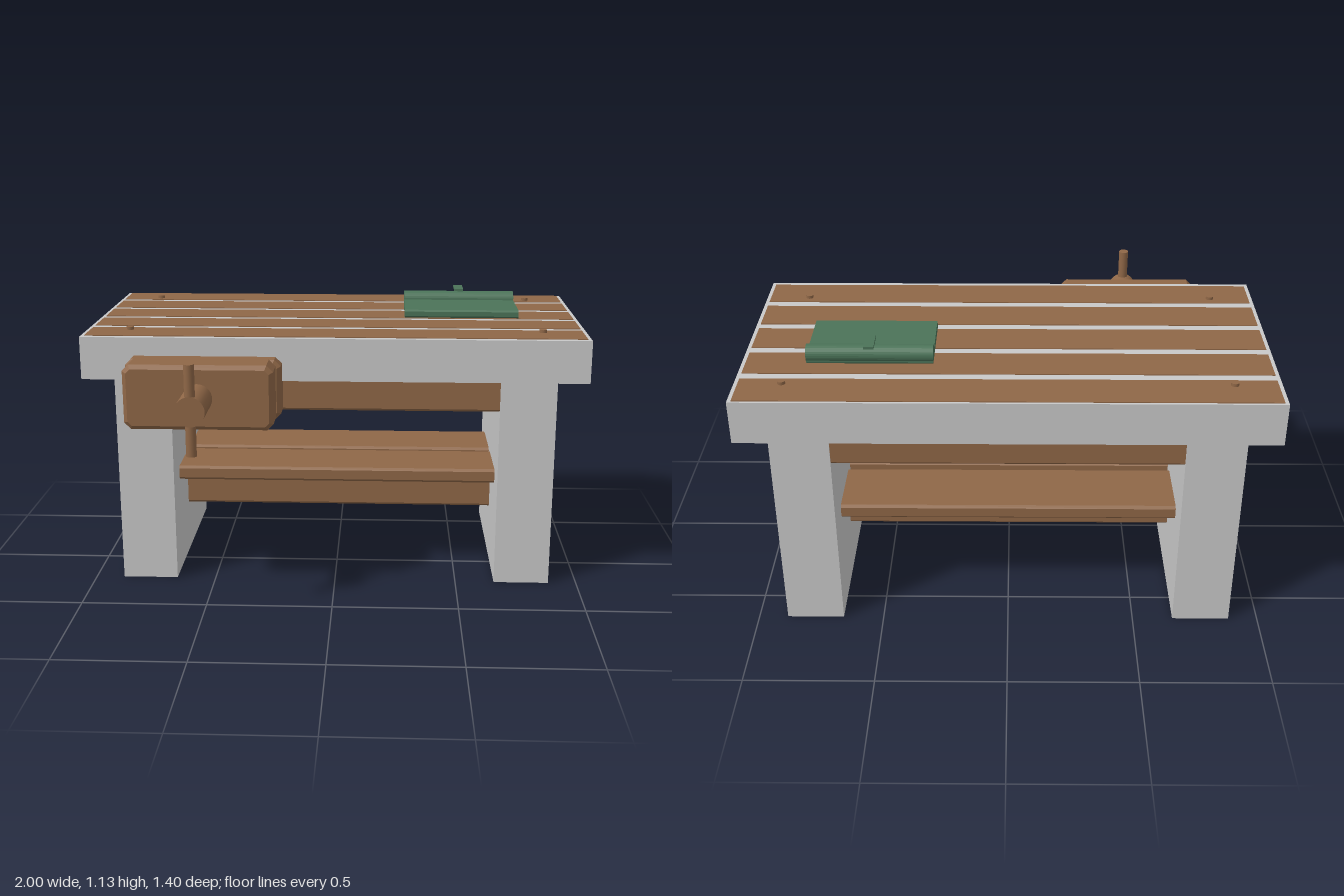
import * as THREE from 'three';

export function createModel() {
  const group = new THREE.Group();
  const mat = (name, color) => Object.assign(new THREE.MeshStandardMaterial({ color }), { name });
  const grey = mat('paleGrey', 0xc8c8c8);
  const wood = mat('brownWood', 0x8f6747);
  const green = mat('green', 0x4b7358);

  const add = (name, geometry, material, x, y, z) => {
    const mesh = new THREE.Mesh(geometry, material);
    mesh.name = name;
    mesh.position.set(x, y, z);
    group.add(mesh);
    return mesh;
  };

  // Box given by its limits on each axis
  const block = (name, material, [x0, x1], [y0, y1], [z0, z1]) =>
    add(name, new THREE.BoxGeometry(x1 - x0, y1 - y0, z1 - z0), material,
      (x0 + x1) / 2, (y0 + y1) / 2, (z0 + z1) / 2);

  // Same, with every edge chamfered by c
  const chamferBlock = (name, material, [x0, x1], [y0, y1], [z0, z1], c) => {
    const w = (x1 - x0) / 2 - c, h = (y1 - y0) / 2 - c, d = z1 - z0 - 2 * c;
    const pts = [[w - c, -h], [w, c - h], [w, h - c], [w - c, h],
      [c - w, h], [-w, h - c], [-w, c - h], [c - w, -h]];
    const shape = new THREE.Shape(pts.map(p => new THREE.Vector2(...p)));
    const geometry = new THREE.ExtrudeGeometry(shape, {
      depth: d, bevelThickness: c, bevelSize: c, bevelSegments: 1,
    });
    geometry.translate(0, 0, -d / 2);
    return add(name, geometry, material, (x0 + x1) / 2, (y0 + y1) / 2, (z0 + z1) / 2);
  };

  // Table top with five inlaid planks
  block('tableTop', grey, [-1, 1], [0.87, 1.04], [-0.7, 0.3]);
  for (let i = 0; i < 5; i++) {
    const z = -0.69 + i * 0.201;
    block('topPlank', wood, [-0.985, 0.985], [1.036, 1.043], [z, z + 0.161]);
  }

  // Slab legs and bench pegs
  for (const s of [-1, 1]) {
    const leg = block('leg', grey, [-0.1125, 0.1125], [0, 0.87], [-0.63, 0.225]);
    leg.position.x = s * 0.7725;
    for (const z of [-0.565, 0.155]) {
      add('benchPeg', new THREE.CylinderGeometry(0.015, 0.015, 0.02, 16), wood, s * 0.825, 1.045, z);
    }
  }

  // Aprons, shelf boards and the stretcher below them
  const span = [-0.68, 0.68];
  chamferBlock('backApron', wood, span, [0.73, 0.875], [-0.625, -0.43], 0.01);
  chamferBlock('frontApron', wood, span, [0.73, 0.875], [0.025, 0.22], 0.01);
  chamferBlock('shelfBoard', wood, span, [0.387, 0.446], [-0.49, -0.22], 0.01);
  chamferBlock('shelfBoard', wood, span, [0.387, 0.446], [-0.18, 0.09], 0.01);
  chamferBlock('stretcher', wood, span, [0.212, 0.356], [-0.28, -0.12], 0.01);

  // Front vise: two jaws, screw and sliding handle
  chamferBlock('fixedJaw', wood, [-0.812, -0.204], [0.728, 0.967], [0.253, 0.37], 0.016);
  chamferBlock('movingJaw', wood, [-0.797, -0.222], [0.722, 0.975], [0.368, 0.502], 0.016);
  const screw = add('viseScrew', new THREE.CylinderGeometry(0.057, 0.057, 0.22, 28), wood, -0.51, 0.848, 0.59);
  screw.rotation.x = Math.PI / 2;
  add('viseHandle', new THREE.CylinderGeometry(0.02, 0.02, 0.348, 16), wood, -0.51, 0.85, 0.68);

  // Clipboard: side profile (u = -z, v = y) with a rolled back edge, run along x
  const profile = new THREE.Shape();
  profile.moveTo(0.127, 1.045);
  profile.lineTo(0.415, 1.045);
  profile.lineTo(0.422, 1.052);
  profile.lineTo(0.422, 1.062);
  profile.absarc(0.395, 1.079, 0.034, -0.6, Math.PI, false);
  profile.lineTo(0.352, 1.078);
  profile.lineTo(0.127, 1.078);
  profile.lineTo(0.12, 1.071);
  profile.lineTo(0.12, 1.052);
  const board = new THREE.ExtrudeGeometry(profile, { depth: 0.475, bevelEnabled: false, curveSegments: 8 });
  board.rotateY(Math.PI / 2);
  add('clipboard', board, green, 0.28, 0, 0);
  block('clipNeck', green, [0.505, 0.525], [1.1, 1.123], [-0.4, -0.39]);
  block('clipTab', green, [0.497, 0.535], [1.12, 1.13], [-0.446, -0.345]);

  return group;
}
